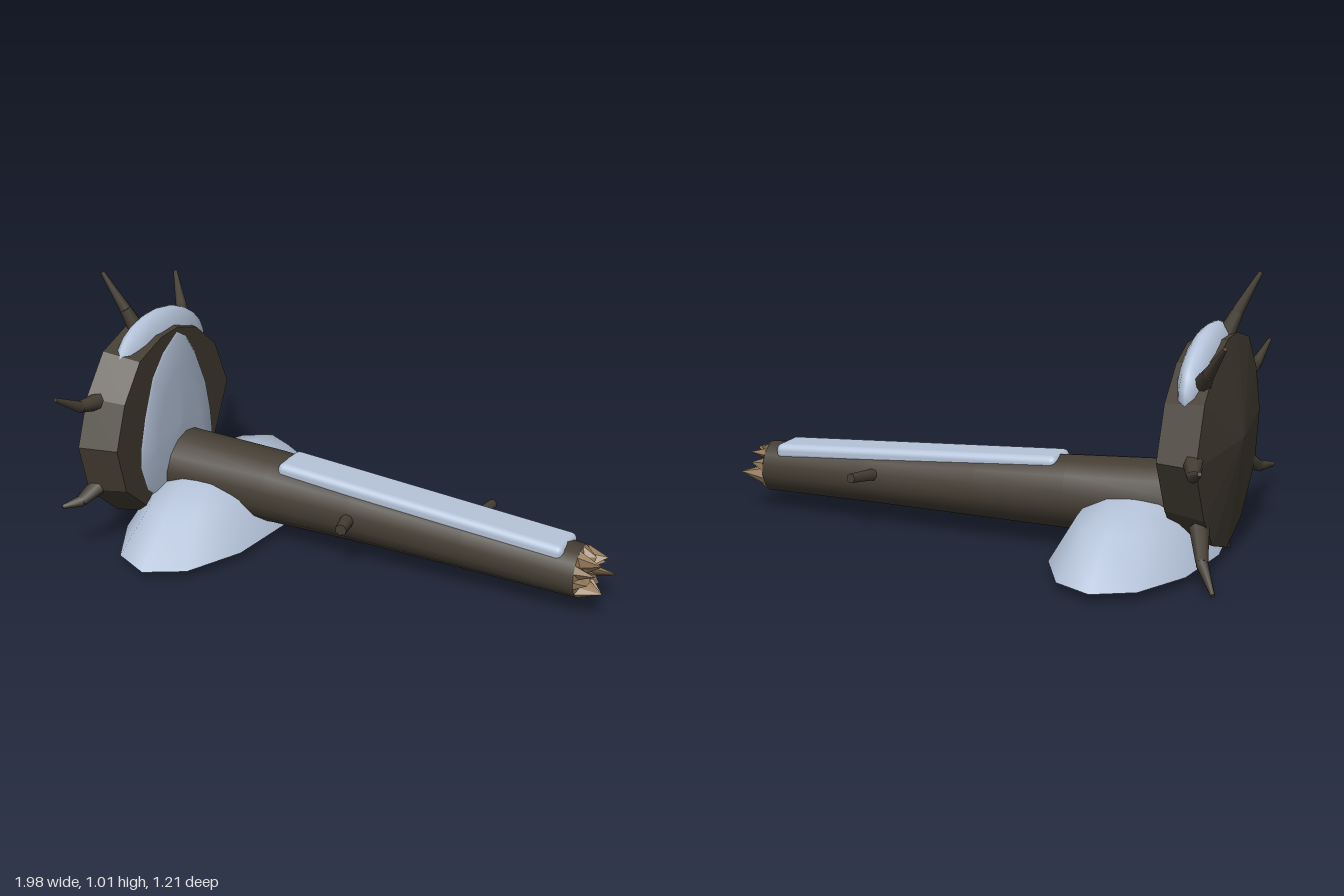
import * as THREE from 'three';
import { RoundedBoxGeometry } from 'three/addons/geometries/RoundedBoxGeometry.js';

const mat = (name, color) => {
  const m = new THREE.MeshStandardMaterial({ color });
  m.name = name;
  return m;
};

// Skin between rings of [x, y, z] points that advance along +x
function loft(rings, flat) {
  const n = rings[0].length, index = [];
  for (let i = 0; i < rings.length - 1; i++) {
    for (let j = 0; j < n; j++) {
      const a = i * n + j, b = i * n + (j + 1) % n;
      index.push(a, b, b + n, a, b + n, a + n);
    }
  }
  let g = new THREE.BufferGeometry();
  g.setAttribute('position', new THREE.Float32BufferAttribute(rings.flat(2), 3));
  g.setIndex(index);
  if (flat) g = g.toNonIndexed();
  g.computeVertexNormals();
  return g;
}

// Ring from a [z, y] outline, scaled about a centre
const outlineRing = (outline, x, s, cz, cy) =>
  outline.map(([z, y]) => [x, cy + (y - cy) * s, cz + (z - cz) * s]);

// Round ring; radius and x may depend on the point number
const roundRing = (n, x, cy, cz, r) => Array.from({ length: n }, (_, j) => {
  const a = (j / n) * Math.PI * 2;
  return [typeof x === 'function' ? x(j) : x, cy + Math.cos(a) * r, cz + Math.sin(a) * r];
});

// Tapered cylinder between two points
function limb(a, b, r0, r1) {
  const p = new THREE.Vector3(...a), q = new THREE.Vector3(...b);
  const d = q.clone().sub(p), len = d.length();
  const g = new THREE.CylinderGeometry(r1, r0, len, 7);
  g.translate(0, len / 2, 0);
  g.applyQuaternion(new THREE.Quaternion().setFromUnitVectors(new THREE.Vector3(0, 1, 0), d.normalize()));
  return g.translate(...a);
}

export function createModel() {
  const model = new THREE.Group();
  model.name = 'fallenTree';
  const bark = mat('bark', 0x443d33);
  const wood = mat('brokenWood', 0x94795a);
  const snow = mat('snow', 0xb6c4da);
  const snowShell = mat('snowShell', 0xb6c4da);
  snowShell.side = THREE.DoubleSide;
  const add = (name, g, m, parent = model) => {
    const mesh = new THREE.Mesh(g, m);
    mesh.name = name;
    parent.add(mesh);
    return mesh;
  };

  // Root plate: irregular disc with a shallow cone at the back
  const rim = [
    [0.0, 0.8], [0.13, 0.8], [0.29, 0.755], [0.41, 0.62], [0.48, 0.45], [0.43, 0.26], [0.25, 0.1],
    [0.06, 0.04], [-0.13, 0.1], [-0.25, 0.22], [-0.37, 0.43], [-0.28, 0.63], [-0.14, 0.75],
  ];
  add('rootPlate', loft([
    outlineRing(rim, -0.957, 0, 0.04, 0.45),
    outlineRing(rim, -0.9, 1, 0.06, 0.45),
    outlineRing(rim, -0.755, 0.93, 0.06, 0.45),
    outlineRing(rim, -0.755, 0, 0.06, 0.45),
  ], true), bark);

  // Trunk
  const stations = [
    [-0.78, 0.215, 0.005, 0.147], [-0.35, 0.205, -0.002, 0.135],
    [0, 0.194, 0.008, 0.121], [0.45, 0.18, 0.03, 0.107], [0.88, 0.166, 0.05, 0.096],
  ];
  add('trunk', loft(stations.map(([x, y, z, r]) => roundRing(14, x, y, z, r))), bark);

  // Splintered end
  const tips = [0.93, 0.965, 0.95, 0.92, 0.97, 0.95, 0.93, 0.99, 0.945, 0.96];
  add('brokenEnd', loft([
    roundRing(20, 0.88, 0.166, 0.05, 0.096),
    roundRing(20, (j) => (j % 2 ? 0.89 : tips[j / 2]), 0.166, 0.05, 0.066),
    roundRing(20, (j) => (j % 2 ? 0.92 : 0.9), 0.166, 0.05, 0.032),
    roundRing(20, 0.9, 0.166, 0.05, 0),
  ], true), wood);

  // Branch stubs
  add('branchStubBack', limb([0.4, 0.2, -0.03], [0.438, 0.22, -0.197], 0.024, 0.018), bark);
  add('branchStubFront', limb([-0.005, 0.198, 0.08], [0.015, 0.197, 0.2], 0.029, 0.022), bark);

  // Bent roots around the plate: base, knee, tip
  const roots = [
    [[-0.85, 0.76, 0.11], [-0.895, 0.87, 0.138], [-0.967, 1.01, 0.167]],
    [[-0.86, 0.67, -0.19], [-0.91, 0.735, -0.275], [-0.985, 0.84, -0.36]],
    [[-0.86, 0.6, 0.36], [-0.88, 0.615, 0.48], [-0.9, 0.685, 0.6]],
    [[-0.88, 0.44, -0.33], [-0.905, 0.42, -0.42], [-0.945, 0.45, -0.485]],
    [[-0.87, 0.18, -0.2], [-0.91, 0.09, -0.3], [-0.978, 0.017, -0.403]],
    [[-0.87, 0.28, 0.4], [-0.905, 0.235, 0.475], [-0.945, 0.23, 0.54]],
    [[-0.86, 0.1, 0.11], [-0.87, 0.04, 0.135], [-0.882, 0.012, 0.158]],
  ];
  const rootGroup = new THREE.Group();
  rootGroup.name = 'roots';
  model.add(rootGroup);
  roots.forEach(([a, b, c]) => {
    add('rootBase', limb(a, b, 0.036, 0.022), bark, rootGroup);
    add('rootTip', limb(b, c, 0.022, 0.008), bark, rootGroup);
  });

  // Snow clinging to the face of the root plate
  const patch = [
    [0.015, 0.775], [0.12, 0.725], [0.2, 0.65], [0.265, 0.51], [0.3, 0.4], [0.31, 0.32], [0.27, 0.21],
    [0.15, 0.11], [0.03, 0.08], [-0.1, 0.11], [-0.19, 0.18], [-0.22, 0.27], [-0.21, 0.37],
    [-0.18, 0.5], [-0.11, 0.65], [-0.05, 0.735],
  ];
  add('plateSnow', loft([[-0.765, 1], [-0.748, 0.93], [-0.74, 0.6], [-0.735, 0]]
    .map(([x, s]) => outlineRing(patch, x, s, 0.04, 0.4))), snow);

  // Snow cap on top of the root plate
  const cap = new THREE.SphereGeometry(1, 16, 12).scale(0.074, 0.165, 0.29);
  cap.rotateX(-0.17).translate(-0.83, 0.672, 0.01);
  add('rootSnowCap', cap, snow);

  // Snow strip along the trunk
  const strip = add('trunkSnow', new RoundedBoxGeometry(1.14, 0.06, 0.155, 3, 0.025), snow);
  strip.position.set(0.26, 0.276, 0.024);
  strip.rotation.set(0, -0.035, -0.063);

  // Hollow snow drift on the ground
  const profile = [90, 45, 22.5, 0].map((d) => {
    const a = THREE.MathUtils.degToRad(d);
    return new THREE.Vector2(Math.sin(a), Math.cos(a));
  });
  const drift = add('snowDrift', new THREE.LatheGeometry(profile, 12), snowShell);
  drift.scale.set(0.283, 0.205, 0.575);
  drift.position.set(-0.615, 0.04, -0.033);

  return model;
}
